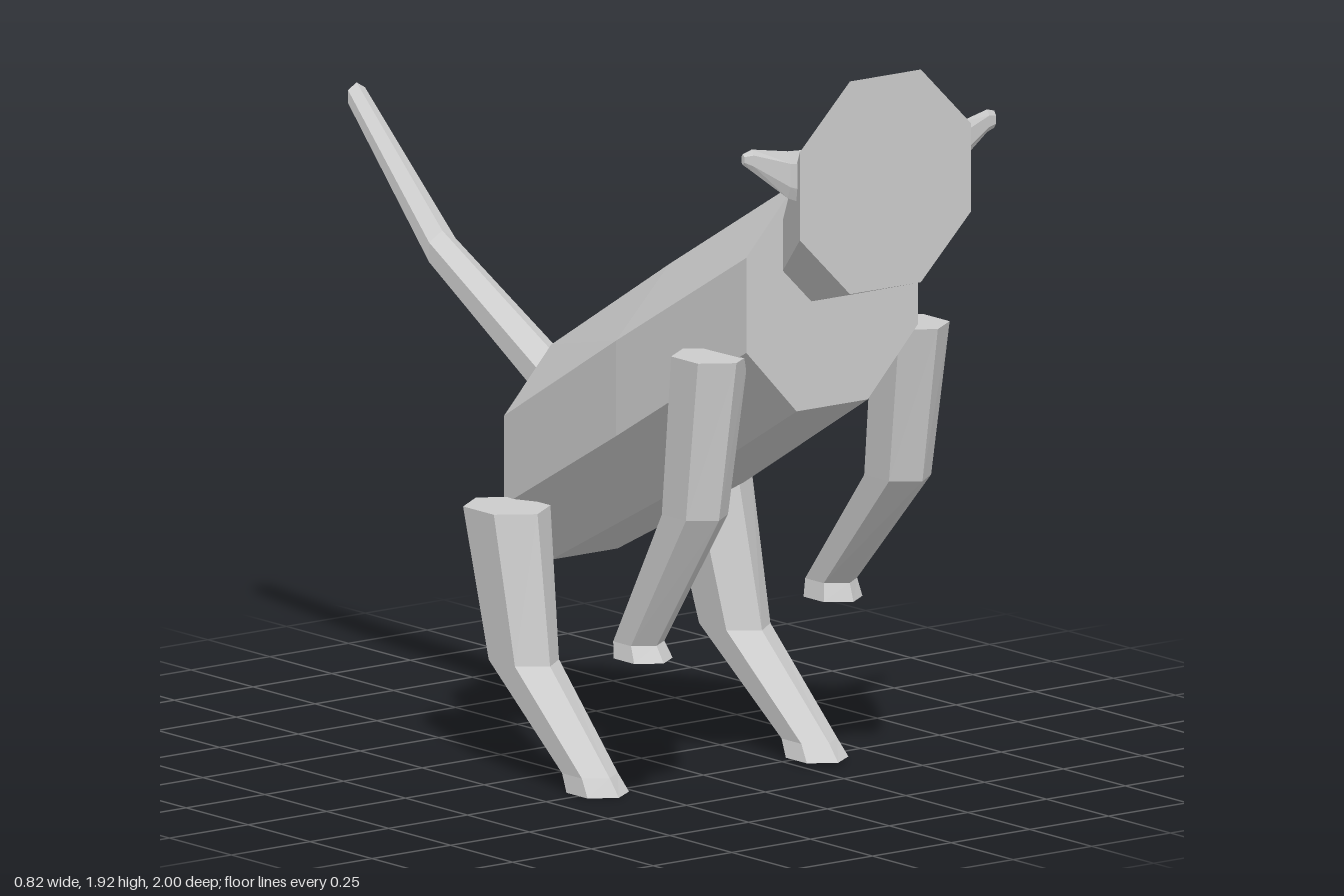
import * as THREE from 'three';

const coat = new THREE.MeshStandardMaterial({ color: 0xcccccc });
coat.name = 'greyCoat';
coat.flatShading = true;

// Axis pairs for the ring planes; sections are listed along the positive cross direction
const X = new THREE.Vector3(1, 0, 0);
const Y = new THREE.Vector3(0, 1, 0);
const Z = new THREE.Vector3(0, 0, 1);

// Faceted, capped loft. Each section: [x, y, z, halfU, halfV]
function loft(name, sections, U, V, sides, phase) {
  const angles = Array.from({ length: sides }, (_, k) => phase + (k * 2 * Math.PI) / sides);
  const maxU = Math.max(...angles.map((a) => Math.abs(Math.cos(a))));
  const maxV = Math.max(...angles.map((a) => Math.abs(Math.sin(a))));
  const rings = sections.map(([x, y, z, hu, hv]) =>
    angles.map((a) =>
      new THREE.Vector3(x, y, z)
        .addScaledVector(U, (hu * Math.cos(a)) / maxU)
        .addScaledVector(V, (hv * Math.sin(a)) / maxV)));
  const pts = [];
  for (let i = 0; i < rings.length - 1; i++) {
    for (let k = 0; k < sides; k++) {
      const n = (k + 1) % sides;
      const a = rings[i][k], b = rings[i][n], c = rings[i + 1][n], d = rings[i + 1][k];
      pts.push(a, b, c, a, c, d);
    }
  }
  const first = rings[0], last = rings[rings.length - 1];
  for (let k = 1; k < sides - 1; k++) {
    pts.push(first[0], first[k + 1], first[k], last[0], last[k], last[k + 1]);
  }
  const geo = new THREE.BufferGeometry().setFromPoints(pts);
  geo.computeVertexNormals();
  const mesh = new THREE.Mesh(geo, coat);
  mesh.name = name;
  return mesh;
}

export function createModel() {
  const model = new THREE.Group();
  model.name = 'fourLeggedAnimal';
  const oct = Math.PI / 8;

  // Sloping octagonal trunk, rear to chest
  model.add(loft('body', [
    [0, 0.757, -0.23, 0.255, 0.275],
    [-0.005, 1.032, 0.27, 0.288, 0.295],
    [0, 1.328, 0.77, 0.273, 0.293],
  ], X, Y, 8, oct));

  // Head flaring to a flat face
  model.add(loft('head', [
    [-0.002, 1.465, 0.77, 0.155, 0.155],
    [-0.012, 1.648, 1.0, 0.272, 0.272],
  ], X, Y, 8, oct));

  // Thin tapering ears
  model.add(loft('leftEar', [
    [0.2, 1.685, 0.957, 0.07, 0.013],
    [0.26, 1.702, 0.952, 0.053, 0.012],
    [0.36, 1.743, 0.938, 0.029, 0.009],
    [0.385, 1.743, 0.935, 0.022, 0.007],
  ], Y, Z, 6, 0));
  model.add(loft('rightEar', [
    [-0.41, 1.747, 0.93, 0.014, 0.006],
    [-0.385, 1.742, 0.934, 0.028, 0.009],
    [-0.285, 1.695, 0.952, 0.06, 0.012],
    [-0.22, 1.68, 0.957, 0.072, 0.013],
  ], Y, Z, 6, 0));

  // Raised tail, tip to root
  model.add(loft('tail', [
    [-0.118, 1.538, -1.0, 0.027, 0.033],
    [-0.062, 1.182, -0.725, 0.042, 0.05],
    [-0.002, 0.845, -0.23, 0.057, 0.067],
  ], X, Y, 6, Math.PI / 6));

  // Legs, foot to top; rows are [x, y, z, halfZ, halfX], x mirrored by side
  const legs = {
    leftFrontLeg: [1, [
      [0.345, 0.425, 0.335, 0.083, 0.061],
      [0.347, 0.47, 0.325, 0.075, 0.053],
      [0.334, 0.785, 0.61, 0.1, 0.067],
      [0.32, 1.19, 0.682, 0.108, 0.08],
    ]],
    rightFrontLeg: [-1, [
      [0.345, 0.38, 0.445, 0.083, 0.061],
      [0.343, 0.42, 0.425, 0.072, 0.053],
      [0.33, 0.778, 0.635, 0.097, 0.067],
      [0.32, 1.19, 0.682, 0.108, 0.08],
    ]],
    leftHindLeg: [1, [
      [0.33, 0.008, 0.29, 0.085, 0.066],
      [0.333, 0.05, 0.255, 0.08, 0.057],
      [0.328, 0.294, -0.04, 0.11, 0.07],
      [0.32, 0.665, -0.137, 0.124, 0.09],
    ]],
    rightHindLeg: [-1, [
      [0.33, 0, 0.243, 0.085, 0.066],
      [0.333, 0.045, 0.215, 0.08, 0.057],
      [0.328, 0.287, -0.058, 0.106, 0.07],
      [0.32, 0.665, -0.137, 0.124, 0.09],
    ]],
  };
  for (const [name, [side, rows]] of Object.entries(legs)) {
    const sections = rows.map(([x, ...rest]) => [side * x, ...rest]);
    model.add(loft(name, sections, Z, X, 6, 0));
  }
  return model;
}
